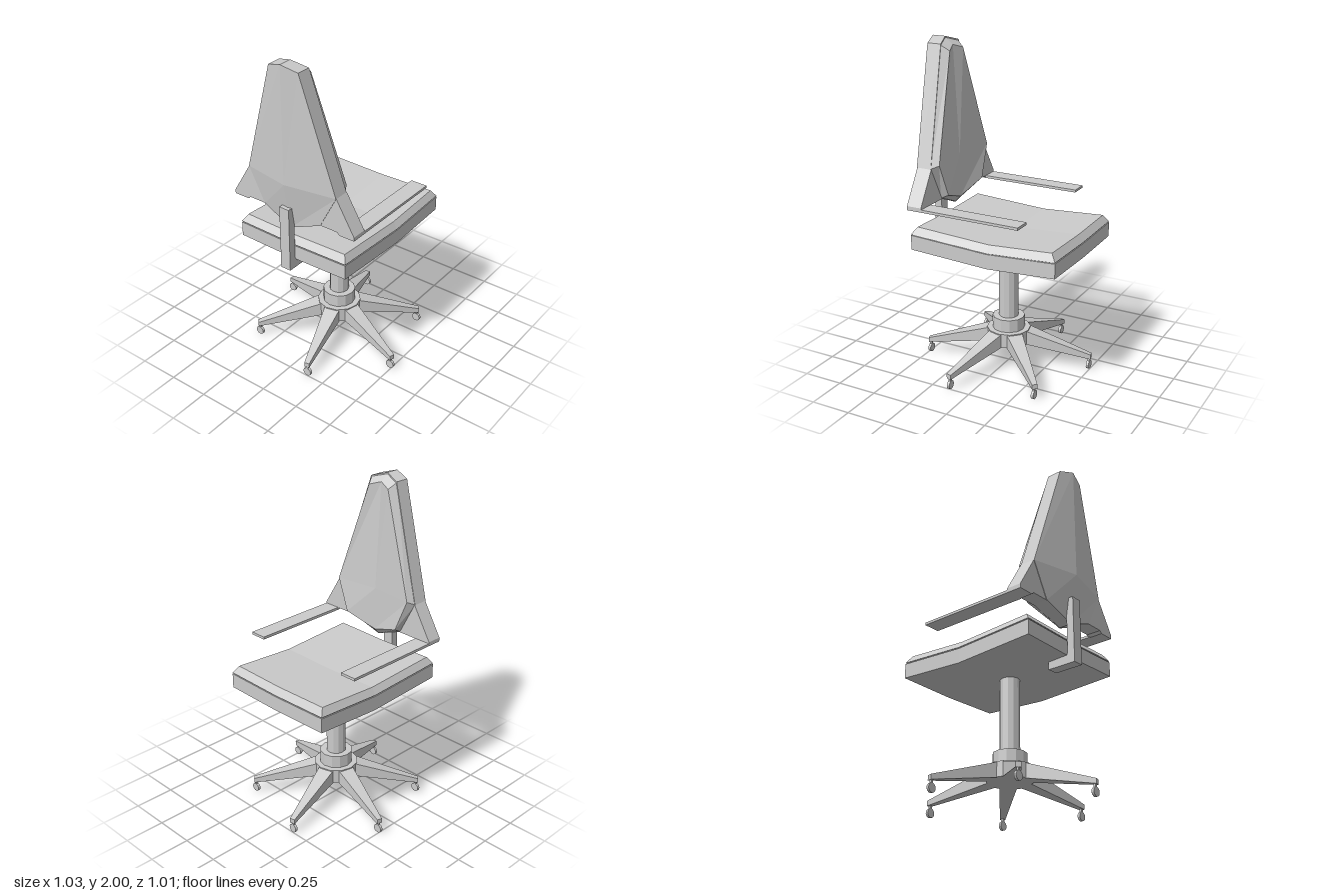
import * as THREE from 'three';

const mat = new THREE.MeshStandardMaterial({ color: 0xcccccc, flatShading: true });

function add(parent, name, geo, x = 0, y = 0, z = 0) {
  const m = new THREE.Mesh(geo, mat);
  m.name = name;
  m.position.set(x, y, z);
  parent.add(m);
  return m;
}

// Box given by its limits on each axis
function block(parent, name, x0, x1, y0, y1, z0, z1) {
  return add(parent, name, new THREE.BoxGeometry(x1 - x0, y1 - y0, z1 - z0),
    (x0 + x1) / 2, (y0 + y1) / 2, (z0 + z1) / 2);
}

// Moves every vertex of a geometry by a rule
function reshape(geo, rule) {
  const p = geo.attributes.position, v = new THREE.Vector3();
  for (let i = 0; i < p.count; i++) {
    rule(v.fromBufferAttribute(p, i));
    p.setXYZ(i, v.x, v.y, v.z);
  }
  geo.computeVertexNormals();
  return geo;
}

// Mirrored loft, rows from top to bottom; each side is { w, ySide, yMid, zSide, zMid }
function backLoft(rows) {
  const pos = [];
  const rings = rows.map(({ front: f, back: b }) => [
    [-f.w, f.ySide, f.zSide], [0, f.yMid, f.zMid], [f.w, f.ySide, f.zSide],
    [b.w, b.ySide, b.zSide], [0, b.yMid, b.zMid], [-b.w, b.ySide, b.zSide]]);
  const quad = (a, b, c, d) => pos.push(...a, ...b, ...c, ...a, ...c, ...d);
  for (let i = 0; i + 1 < rings.length; i++) {
    for (let j = 0; j < 6; j++) {
      const k = (j + 1) % 6;
      quad(rings[i][j], rings[i][k], rings[i + 1][k], rings[i + 1][j]);
    }
  }
  const t = rings[0], e = rings[rings.length - 1];
  quad(t[0], t[5], t[4], t[1]);
  quad(t[1], t[4], t[3], t[2]);
  quad(e[0], e[1], e[4], e[5]);
  quad(e[1], e[2], e[3], e[4]);
  const g = new THREE.BufferGeometry();
  g.setAttribute('position', new THREE.Float32BufferAttribute(pos, 3));
  g.computeVertexNormals();
  return g;
}
const edge = (w, ySide, yMid, zSide, zMid) => ({ w, ySide, yMid, zSide, zMid });

// Seat slab, dished towards its middle, with the top pulled in for a bevel
function seatSlab(y0, y1, inset, bevel) {
  const W = 0.38 - inset, D = 0.47 - inset;
  return reshape(new THREE.BoxGeometry(2, 1, 2, 2, 1, 2), (v) => {
    const top = v.y > 0, b = top ? bevel : 0;
    const dip = 0.025 * (1 - Math.abs(v.z)) + 0.008 * (1 - Math.abs(v.x));
    v.y = (top ? y1 : y0) - dip;
    v.z = v.z === 0 ? -0.06 : -0.02 + v.z * (D - b * 1.2);
    v.x *= W - b;
  });
}

export function createModel() {
  const chair = new THREE.Group();
  chair.name = 'officeChair';

  // Seat
  const seat = new THREE.Group();
  seat.name = 'seat';
  chair.add(seat);
  add(seat, 'seatShell', seatSlab(0.79, 0.88, 0, 0));
  add(seat, 'seatSeam', seatSlab(0.875, 0.892, 0.006, 0));
  add(seat, 'seatCushion', seatSlab(0.887, 0.93, 0, 0.026));

  // Backrest
  const back = new THREE.Group();
  back.name = 'backrest';
  chair.add(back);
  add(back, 'backShell', backLoft([
    { front: edge(0.1, 1.97, 2, 0.39, 0.42), back: edge(0.1, 1.97, 2, 0.48, 0.505) },
    { front: edge(0.31, 1.28, 1.29, 0.345, 0.415), back: edge(0.31, 1.28, 1.29, 0.44, 0.505) },
    { front: edge(0.2, 1.07, 0.99, 0.345, 0.37), back: edge(0.2, 1.07, 0.99, 0.44, 0.455) },
  ]));
  add(back, 'backCushion', backLoft([
    { front: edge(0.075, 1.93, 1.955, 0.345, 0.37), back: edge(0.098, 1.965, 1.995, 0.395, 0.425) },
    { front: edge(0.28, 1.3, 1.3, 0.305, 0.335), back: edge(0.308, 1.28, 1.29, 0.35, 0.42) },
    { front: edge(0.2, 1.1, 1.03, 0.297, 0.335), back: edge(0.2, 1.072, 0.987, 0.35, 0.375) },
  ]));

  // Wings and armrests
  const wing = [[0.31, 1.28], [0.2, 1.07], [0.315, 1.07], [0.33, 1.055], [0.43, 1.055], [0.43, 1.08]];
  for (const s of [1, -1]) {
    const side = s > 0 ? 'left' : 'right';
    const shape = new THREE.Shape(wing.map(([x, y]) => new THREE.Vector2(s * x, y)));
    add(back, side + 'Wing',
      new THREE.ExtrudeGeometry(shape, { depth: 0.095, bevelEnabled: false }), 0, 0, 0.342);
    add(chair, side + 'Armrest', new THREE.BoxGeometry(0.105, 0.016, 0.64), s * 0.377, 1.063, 0.035);
  }

  // Bracket joining the seat and back
  block(chair, 'backPost', -0.04, 0.027, 0.73, 1.135, 0.455, 0.502);
  block(chair, 'bracketFoot', -0.04, 0.027, 0.73, 0.79, 0.32, 0.46);

  // Column
  add(chair, 'column', new THREE.CylinderGeometry(0.06, 0.06, 0.48, 12), 0, 0.53, 0);
  add(chair, 'collar', new THREE.CylinderGeometry(0.1, 0.1, 0.085, 12), 0, 0.27, 0);

  // Six-legged base with casters
  const base = new THREE.Group();
  base.name = 'base';
  chair.add(base);
  add(base, 'hub', new THREE.CylinderGeometry(0.135, 0.135, 0.09, 12), 0, 0.188, 0);
  for (let i = 0; i < 6; i++) {
    const a = THREE.MathUtils.degToRad(15 + 60 * i);
    const leg = add(base, 'leg', reshape(new THREE.BoxGeometry(2, 2, 2), (v) => {
      const outer = v.x > 0, top = v.y > 0;
      v.x = outer ? 0.52 : 0.11;
      v.y = outer ? (top ? 0.098 : 0.068) : (top ? 0.233 : 0.143);
      v.z *= outer ? 0.016 : 0.05;
    }));
    leg.rotation.y = -a;
    const x = 0.507 * Math.cos(a), z = 0.507 * Math.sin(a);
    add(base, 'casterStem', new THREE.BoxGeometry(0.014, 0.03, 0.014), x, 0.063, z);
    add(base, 'caster', new THREE.CylinderGeometry(0.027, 0.027, 0.016, 14).rotateX(Math.PI / 2), x, 0.027, z);
  }
  return chair;
}
